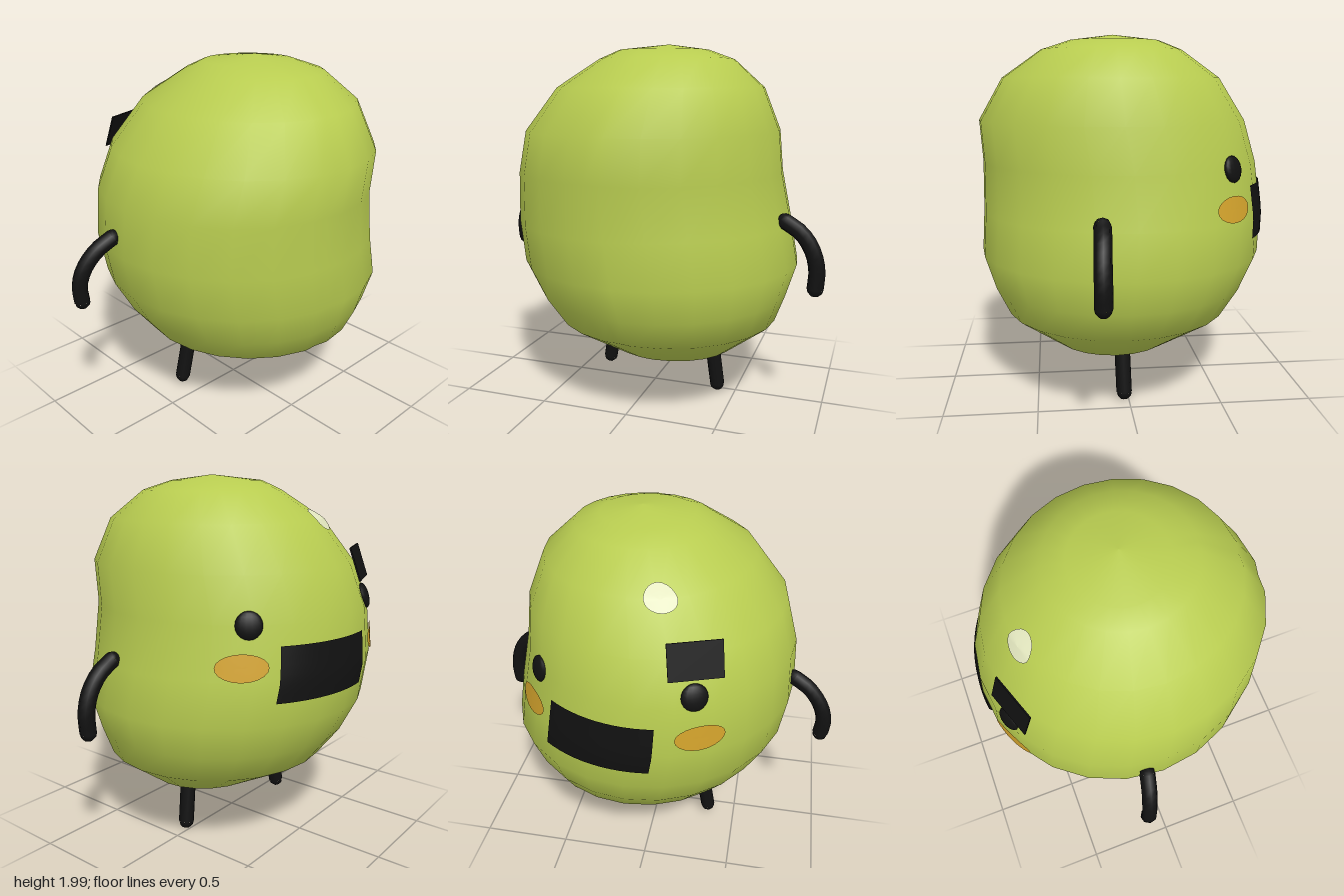
import * as THREE from 'three';

const mat = (name, color, side = THREE.FrontSide) => {
  const m = new THREE.MeshStandardMaterial({ color, side });
  m.name = name;
  return m;
};

// Body cross-sections: height, right x, left x, front z, back z
const ROWS = [
  [0.255, 0.1, 0.1, 0.06, 0.06],
  [0.30, -0.22, 0.49, 0.40, -0.26],
  [0.47, -0.53, 0.72, 0.66, -0.58],
  [0.62, -0.645, 0.775, 0.74, -0.69],
  [0.80, -0.74, 0.83, 0.80, -0.775],
  [1.03, -0.775, 0.785, 0.79, -0.795],
  [1.30, -0.76, 0.73, 0.787, -0.765],
  [1.53, -0.69, 0.715, 0.80, -0.69],
  [1.76, -0.51, 0.625, 0.665, -0.535],
  [1.91, -0.28, 0.46, 0.45, -0.32],
  [1.96, -0.18, 0.32, 0.30, -0.2],
  [1.99, 0.1, 0.1, 0.06, 0.06],
];

function ringAt(y) {
  let i = 0;
  while (i < ROWS.length - 2 && ROWS[i + 1][0] < y) i++;
  const a = ROWS[i], b = ROWS[i + 1];
  const t = (y - a[0]) / (b[0] - a[0]);
  const [, x0, x1, z1, z0] = a.map((v, k) => v + (b[k] - v) * t);
  return { cx: (x0 + x1) / 2, cz: (z0 + z1) / 2, rx: (x1 - x0) / 2, rz: (z1 - z0) / 2 };
}

// Point on the body; angle 0 is +z and 90 degrees is +x
function surface(theta, y, scale = 1, out = 0) {
  const r = ringAt(y);
  return new THREE.Vector3(
    r.cx + (r.rx * scale + out) * Math.sin(theta), y, r.cz + (r.rz * scale + out) * Math.cos(theta));
}

function normalAt(theta, y) {
  const du = surface(theta + 0.02, y).sub(surface(theta - 0.02, y));
  const dv = surface(theta, y + 0.08).sub(surface(theta, y - 0.08));
  return du.cross(dv).normalize();
}

// Surface grid from a function of column and row
function gridGeometry(cols, rows, closed, point) {
  const pos = [], idx = [];
  const n = closed ? cols : cols + 1;
  for (let j = 0; j <= rows; j++) for (let i = 0; i < n; i++) pos.push(...point(i, j).toArray());
  for (let j = 0; j < rows; j++) {
    for (let i = 0; i < cols; i++) {
      const a = j * n + i, b = j * n + ((i + 1) % n), c = a + n, d = b + n;
      idx.push(a, b, d, a, d, c);
    }
  }
  const g = new THREE.BufferGeometry();
  g.setAttribute('position', new THREE.Float32BufferAttribute(pos, 3));
  g.setIndex(idx);
  g.computeVertexNormals();
  return g;
}

// Painted patch that follows the body
function patchGeometry(theta, y, width, height, round) {
  const r = ringAt(y).rx;
  const at = (u, v) => {
    const yy = y + v * height / 2, th = theta + u * width / 2 / r;
    return surface(th, yy).addScaledVector(normalAt(th, yy), 0.009);
  };
  if (!round) return gridGeometry(12, 6, false, (i, j) => at(i / 6 - 1, j / 3 - 1));
  return gridGeometry(20, 4, true, (i, j) => {
    const a = -i / 20 * Math.PI * 2, s = Math.max(j / 4, 0.001);
    return at(Math.cos(a) * s, Math.sin(a) * s);
  });
}

// Limb: eight-sided tube with blunt pointed ends
function limb(name, points, radius, material) {
  const group = new THREE.Group();
  group.name = name;
  const pts = points.map(p => new THREE.Vector3(...p));
  const curve = new THREE.CatmullRomCurve3(pts);
  const add = g => {
    const m = new THREE.Mesh(g, material);
    m.name = name + 'Part';
    group.add(m);
    return m;
  };
  add(new THREE.TubeGeometry(curve, 10, radius, 8));
  for (const t of [0, 1]) {
    const tip = add(new THREE.SphereGeometry(radius, 8, 3, 0, Math.PI * 2, 0, Math.PI / 2));
    const dir = curve.getTangent(t).multiplyScalar(t ? 1 : -1);
    tip.position.copy(curve.getPoint(t));
    tip.quaternion.setFromUnitVectors(new THREE.Vector3(0, 1, 0), dir);
  }
  return group;
}

export function createModel() {
  const model = new THREE.Group();
  model.name = 'roundCreature';
  const green = mat('skinGreen', 0xb8cc50);
  const black = mat('black', 0x111111);
  const paintBlack = mat('mouthBlack', 0x111111, THREE.DoubleSide);
  const orange = mat('cheekOrange', 0xd2a22c, THREE.DoubleSide);
  const cream = mat('highlightCream', 0xe4e8c0, THREE.DoubleSide);
  const rad = THREE.MathUtils.degToRad;
  const add = (name, geometry, material) => {
    const m = new THREE.Mesh(geometry, material);
    m.name = name;
    model.add(m);
    return m;
  };

  // Body, with a shallow seam down the +z side
  const angles = Array.from({ length: 24 }, (_, i) => i * 15);
  angles.push(353);
  add('body', gridGeometry(angles.length, ROWS.length - 1, true, (i, j) => {
    const seam = angles[i] === 353 && j > 1 && j < ROWS.length - 2;
    return surface(rad(angles[i]), ROWS[j][0], seam ? 0.982 : 1);
  }), green);

  // Eyes: flattened domes on the -z face
  for (const [name, deg, y] of [['leftEye', 133, 1.3], ['rightEye', -157, 1.35]]) {
    const eye = add(name, new THREE.SphereGeometry(1, 14, 10), black);
    const n = normalAt(rad(deg), y);
    eye.scale.set(0.068, 0.07, 0.025);
    eye.position.copy(surface(rad(deg), y));
    eye.lookAt(eye.position.clone().add(n));
  }

  // Cheeks, mouth and forehead highlight
  add('leftCheek', patchGeometry(rad(131), 1.1, 0.26, 0.135, true), orange);
  add('rightCheek', patchGeometry(rad(-154.5), 1.13, 0.26, 0.14, true), orange);
  add('mouth', patchGeometry(rad(166.5), 1.06, 0.59, 0.275, false), paintBlack);
  add('highlight', patchGeometry(rad(-164), 1.755, 0.16, 0.105, true), cream);

  // Single flat eyebrow
  const brow = add('eyebrow', new THREE.BoxGeometry(0.27, 0.185, 0.008), black);
  brow.position.set(-0.29, 1.53, -0.648);
  brow.lookAt(brow.position.clone().add(new THREE.Vector3(-0.34, 0.34, -0.93)));

  // Arms and legs
  model.add(
    limb('leftArm', [[0.78, 1.07, 0.17], [0.87, 1.01, 0.175], [0.93, 0.92, 0.18],
      [0.955, 0.82, 0.18], [0.95, 0.72, 0.18]], 0.044, black),
    limb('rightArm', [[-0.77, 1.125, -0.1], [-0.86, 1.07, -0.12], [-0.93, 0.98, -0.14],
      [-0.957, 0.89, -0.15], [-0.95, 0.8, -0.15]], 0.043, black),
    limb('leftLeg', [[0.355, 0.36, 0.035], [0.375, 0.2, 0.03], [0.395, 0.045, 0.025]], 0.043, black),
    limb('rightLeg', [[-0.28, 0.4, -0.08], [-0.305, 0.24, -0.09], [-0.335, 0.075, -0.1]], 0.043, black),
  );
  return model;
}
